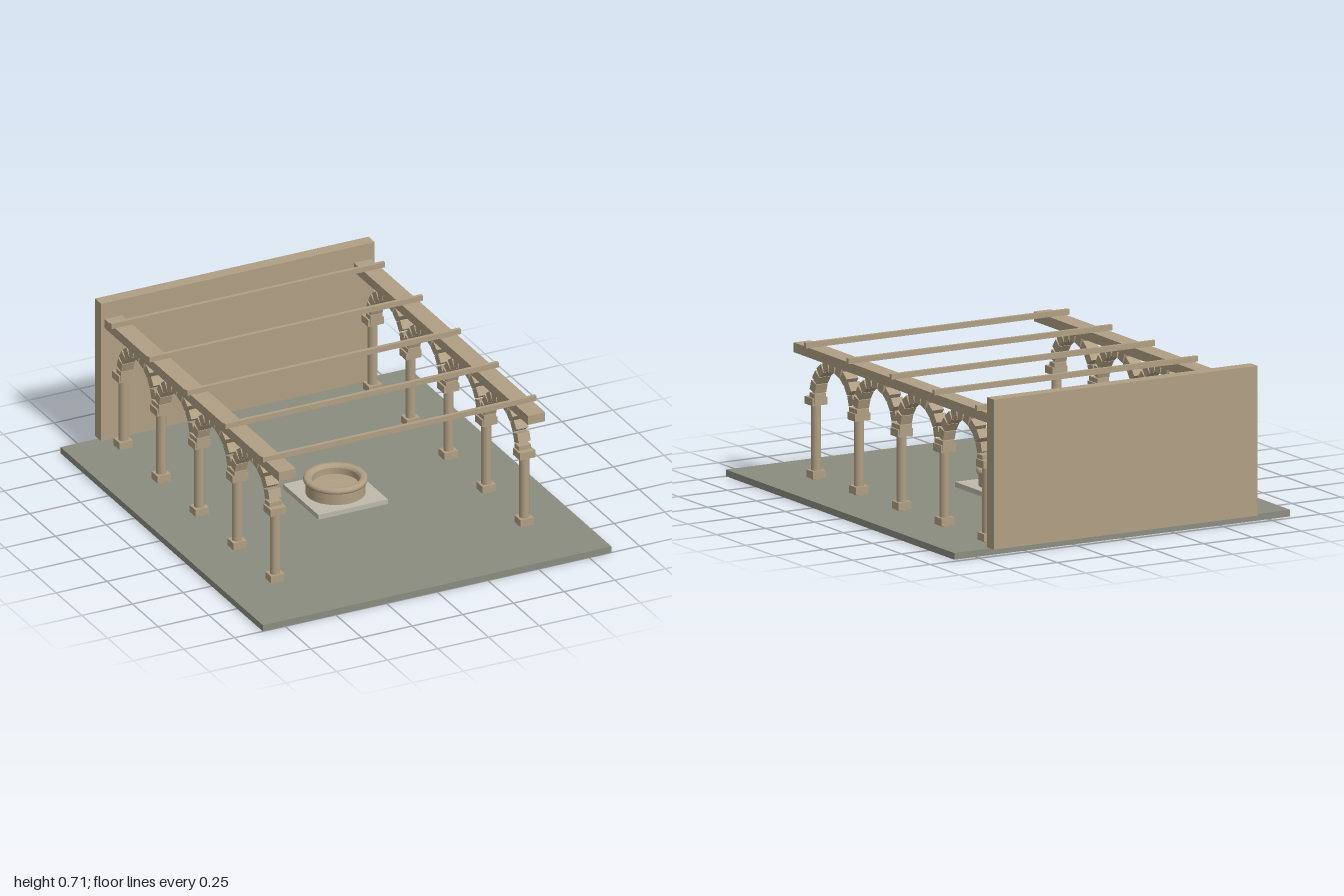
import * as THREE from 'three';

const stone = new THREE.MeshStandardMaterial({ color: 0xb09f84 });
const paving = new THREE.MeshStandardMaterial({ color: 0x8b8c80 });
const paleStone = new THREE.MeshStandardMaterial({ color: 0xbeb9aa });

const SIDE_X = 0.615;                                   // colonnade offset from the centre line
const COLUMN_Z = [0.634, 0.265, -0.104, -0.473, -0.842];
const FLOOR_Y = 0.03;

function add(parent, name, geometry, x, y, z, material = stone) {
  const mesh = new THREE.Mesh(geometry, material);
  mesh.name = name;
  mesh.position.set(x, y, z);
  parent.add(mesh);
  return mesh;
}

// Box given by its centre in x and z and its bottom and top in y
function block(parent, name, w, d, y0, y1, x, z, material) {
  return add(parent, name, new THREE.BoxGeometry(w, y1 - y0, d), x, (y0 + y1) / 2, z, material);
}

function column(z) {
  const g = new THREE.Group();
  g.name = 'column';
  block(g, 'columnBase', 0.066, 0.058, 0.037, 0.071, 0, z);
  add(g, 'columnShaft', new THREE.CylinderGeometry(0.0225, 0.0225, 0.345, 16), 0, 0.2025, z);
  block(g, 'columnCapital', 0.077, 0.067, 0.368, 0.402, 0, z);
  return g;
}

// Semicircle of separate rectangular stones
function arch(z) {
  const g = new THREE.Group();
  g.name = 'arch';
  const count = 11, radius = 0.17;
  const geometry = new THREE.BoxGeometry(0.06, 0.044, 0.044);
  for (let i = 0; i < count; i++) {
    const a = (i / (count - 1)) * Math.PI;
    const s = add(g, 'archStone', geometry, 0, 0.4 + radius * Math.sin(a), z + radius * Math.cos(a));
    s.rotation.x = -a;
  }
  return g;
}

function colonnade(x) {
  const g = new THREE.Group();
  g.name = 'colonnade';
  g.position.x = x;
  COLUMN_Z.forEach((z, i) => {
    g.add(column(z));
    if (i > 0) g.add(arch((z + COLUMN_Z[i - 1]) / 2));
  });
  block(g, 'longBeam', 0.085, 1.695, 0.583, 0.627, 0, -0.0925);
  return g;
}

// Round basin with a rolled rim on a square plinth
function basin() {
  const g = new THREE.Group();
  g.name = 'basin';
  g.position.z = 0.01;
  block(g, 'basinPlinth', 0.343, 0.343, FLOOR_Y, 0.053, 0, 0, paleStone);
  const wall = [[0.133, 0.05], [0.133, 0.108]];
  const rim = [[0.133, 0.106], [0.14, 0.108], [0.143, 0.115], [0.142, 0.124], [0.135, 0.132],
    [0.117, 0.132], [0.109, 0.126], [0.105, 0.118]];
  const bowl = [[0.105, 0.118], [0.105, 0.088]];
  const lathe = (points) => new THREE.LatheGeometry(points.map(([r, y]) => new THREE.Vector2(r, y)), 32);
  add(g, 'basinWall', lathe(wall), 0, 0, 0);
  add(g, 'basinRim', lathe(rim), 0, 0, 0);
  add(g, 'basinInside', lathe(bowl), 0, 0, 0);
  add(g, 'basinFloor', new THREE.CircleGeometry(0.106, 32).rotateX(-Math.PI / 2), 0, 0.088, 0);
  return g;
}

export function createModel() {
  const model = new THREE.Group();
  model.name = 'courtyard';

  block(model, 'floor', 1.72, 1.97, 0, FLOOR_Y, 0, 0.015, paving);
  block(model, 'backWall', 1.35, 0.06, FLOOR_Y, 0.706, 0, -0.97);
  model.add(colonnade(SIDE_X), colonnade(-SIDE_X), basin());

  // Thin beams spanning the court above each pair of columns
  for (const z of COLUMN_Z) block(model, 'crossBeam', 1.35, 0.017, 0.627, 0.652, 0, z - 0.005);

  return model;
}
